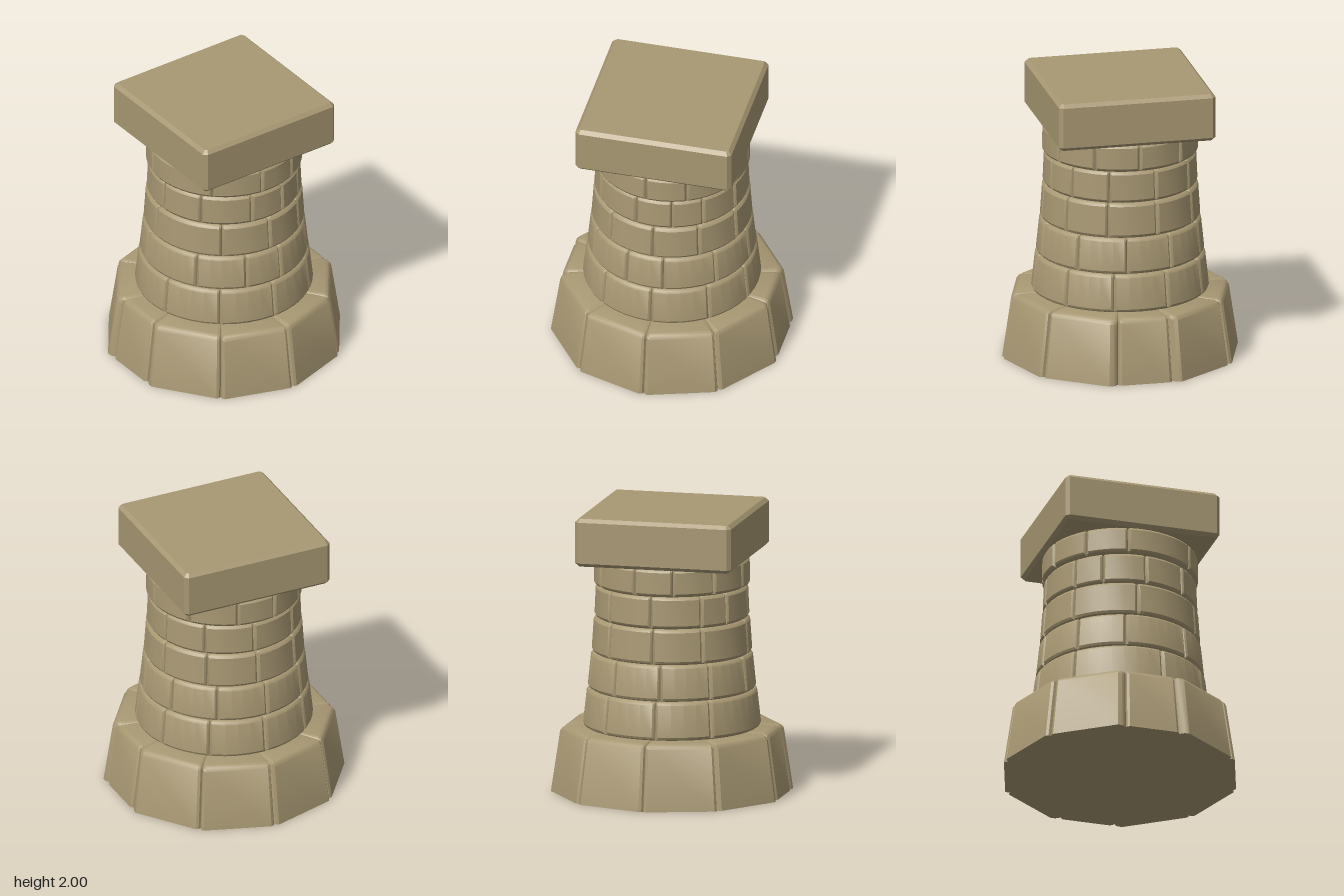
import * as THREE from 'three';
import { toCreasedNormals } from 'three/addons/utils/BufferGeometryUtils.js';

const RAD = Math.PI / 180;

// Rounded edge: [fraction of the way in from the edge, fraction of depth cut]
const EDGE = [[0, 1], [0.35, 0.4], [1, 0]];

// Ring of stones. Seams and corners are angles in degrees, from +z towards +x.
function stoneRing({ seams, corners = [], y0, y1, r0, r1, bevel, groove, depth, inner, flatBottom, outline }) {
  // columns: [angle, groove cut 0..1]
  const columns = [];
  const n = seams.length;
  seams.forEach((s, i) => {
    const end = i < n - 1 ? seams[i + 1] : seams[0] + 360;
    for (const [t, cut] of EDGE) columns.push([s + t * groove, cut]);
    const a = s + groove, b = end - groove;
    const steps = outline ? 1 : Math.max(2, Math.round((b - a) / 8));
    for (let k = 1; k < steps; k++) columns.push([a + (b - a) * k / steps, 0]);
    for (const c of corners) if (c > a + 0.2 && c < b - 0.2) columns.push([c, 0]);
    for (const [t, cut] of [EDGE[2], EDGE[1]]) columns.push([end - t * groove, cut]);
  });

  // rows: [height, bevel cut, seam drop, inner radius or null]
  const rows = [[y0, 0, 0, flatBottom ? 0.001 : inner]];
  if (flatBottom) rows.push([y0, 0, 0, null]);
  else for (const [t, cut] of EDGE) rows.push([y0 + t * bevel, cut, 0, null]);
  for (const [t, cut] of [...EDGE].reverse()) rows.push([y1 - t * bevel, cut, 1 - t, null]);
  rows.push([y1, 0, 0, inner]);

  const pos = [], index = [], m = columns.length;
  for (const [y, rowCut, drop, fixed] of rows) {
    for (const [angle, colCut] of columns) {
      const f = (y - y0) / (y1 - y0);
      const base = (r0 + (r1 - r0) * f) * (outline ? outline(angle) : 1);
      const r = fixed ?? base - Math.max(rowCut * bevel, colCut * depth);
      pos.push(r * Math.sin(angle * RAD), y - drop * colCut * depth * 0.7, r * Math.cos(angle * RAD));
    }
  }
  for (let i = 0; i < rows.length - 1; i++) {
    for (let j = 0; j < m; j++) {
      const a = i * m + j, b = i * m + (j + 1) % m;
      index.push(a, b, a + m, b, b + m, a + m);
    }
  }
  const g = new THREE.BufferGeometry();
  g.setAttribute('position', new THREE.Float32BufferAttribute(pos, 3));
  g.setIndex(index);
  return toCreasedNormals(g, 30 * RAD);
}

export function createModel() {
  const stone = new THREE.MeshStandardMaterial({ color: 0xa89873 });
  stone.name = 'sandstone';
  const model = new THREE.Group();
  model.name = 'stonePedestal';
  const add = (name, geometry) => {
    const mesh = new THREE.Mesh(geometry, stone);
    mesh.name = name;
    model.add(mesh);
    return mesh;
  };

  // Ten-sided sloping foot, seams close to its corners
  const decagon = (angle) => {
    const d = angle - 36 * Math.round(angle / 36);
    return Math.cos(18 * RAD) / Math.cos(d * RAD);
  };
  add('foot', stoneRing({
    seams: [-166, -127, -90, -53, -14, 14, 53, 90, 127, 166],
    corners: Array.from({ length: 11 }, (_, i) => -162 + 36 * i),
    y0: 0, y1: 0.465, r0: 0.845, r1: 0.775, bevel: 0.035, groove: 2, depth: 0.032,
    inner: 0.5, flatBottom: true, outline: decagon,
  }));

  // Five courses of curved blocks
  const courses = [
    { y: [0.465, 0.735], r: [0.622, 0.592], seams: [-49, 12.5, 52, 90, 129, 163, 200, 235, 273] },
    { y: [0.735, 0.99], r: [0.588, 0.562], seams: [-48, -13, 35, 70.5, 98, 136, 172, 205, 240, 276] },
    { y: [0.99, 1.24], r: [0.56, 0.543], seams: [-53, -4, 53, 90, 124, 158, 195, 232, 270] },
    { y: [1.24, 1.468], r: [0.54, 0.53], seams: [-53, -30, 3, 37, 76, 104, 128, 159, 195, 230, 268] },
    { y: [1.468, 1.665], r: [0.545, 0.54], seams: [-43, -11, 46, 84, 115, 148, 182, 218, 255, 285] },
  ];
  courses.forEach(({ y, r, seams }, i) => add(`course${i + 1}`, stoneRing({
    seams, y0: y[0], y1: y[1], r0: r[0], r1: r[1], bevel: 0.024, groove: 2, depth: 0.022, inner: 0.42,
  })));

  // Square cap slab with chamfered edges
  const h = 0.56, b = 0.025, e = h - b, c = 0.012;
  const square = new THREE.Shape([
    [e - c, -e], [e, -e + c], [e, e - c], [e - c, e],
    [-e + c, e], [-e, e - c], [-e, -e + c], [-e + c, -e],
  ].map(([x, y]) => new THREE.Vector2(x, y)));
  const slab = new THREE.ExtrudeGeometry(square, {
    depth: 0.34 - 2 * b, bevelEnabled: true, bevelSize: b, bevelThickness: b, bevelSegments: 1,
  });
  slab.rotateX(-Math.PI / 2);
  slab.translate(0, 1.66 + b, 0);
  add('capSlab', slab);

  return model;
}
